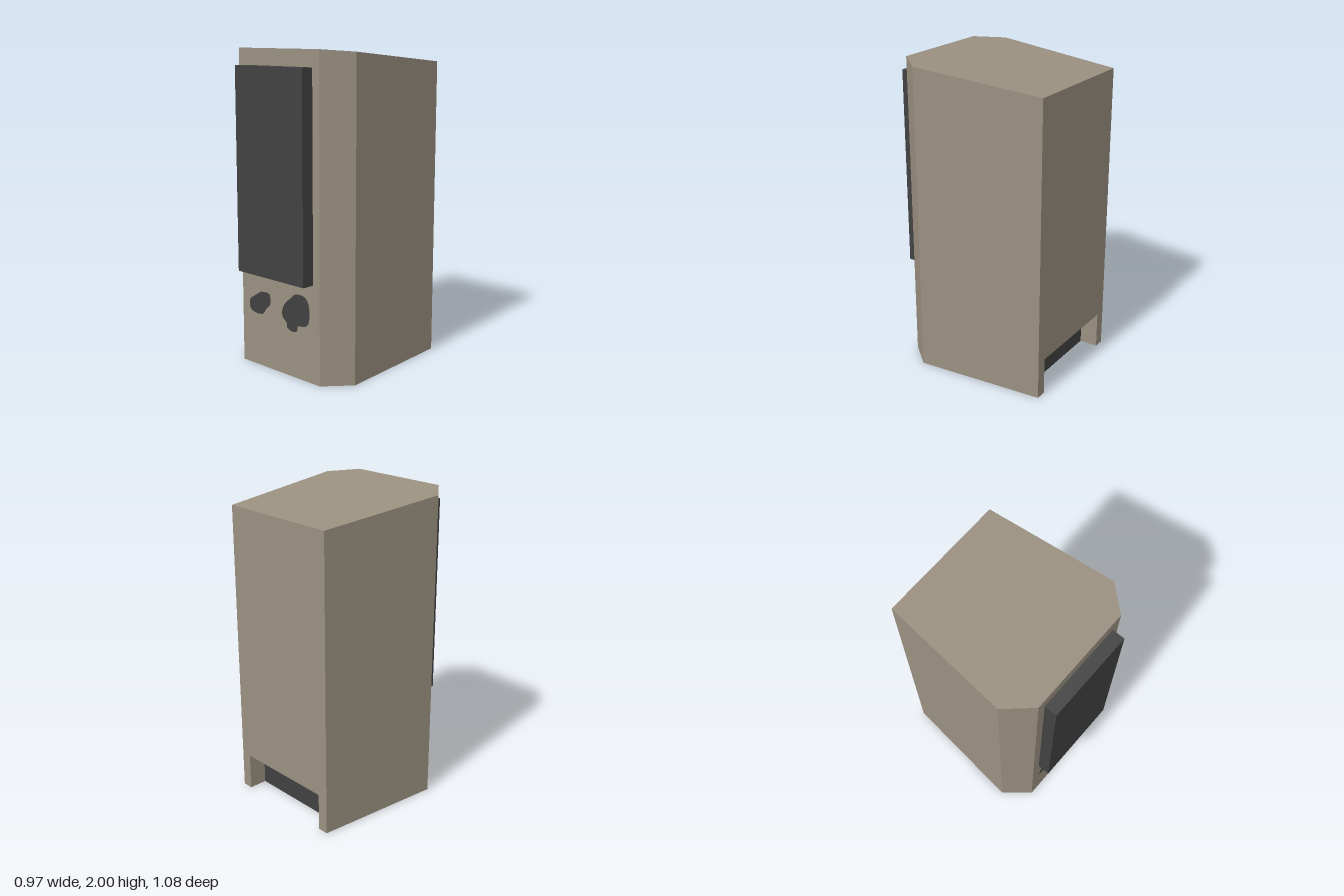
import * as THREE from 'three';

const FRONT = 0.46, BACK = -0.54, NOTCH_Z = -0.42, NOTCH_H = 0.24, NOTCH_X = 0.34;

// Cabinet top slopes down towards the back
const topY = (z) => 2 - 0.09 * (FRONT - z);

// One mesh of flat convex polygons; each entry is [outward direction, corners]
function polygonMesh(name, polygons, material) {
  const positions = [];
  for (const [outward, corners] of polygons) {
    const p = corners.map((c) => new THREE.Vector3(...c));
    const normal = p[1].clone().sub(p[0]).cross(p[2].clone().sub(p[0]));
    if (normal.dot(new THREE.Vector3(...outward)) < 0) p.reverse();
    for (let i = 1; i < p.length - 1; i++) {
      for (const v of [p[0], p[i], p[i + 1]]) positions.push(v.x, v.y, v.z);
    }
  }
  const geometry = new THREE.BufferGeometry();
  geometry.setAttribute('position', new THREE.Float32BufferAttribute(positions, 3));
  geometry.computeVertexNormals();
  const mesh = new THREE.Mesh(geometry, material);
  mesh.name = name;
  return mesh;
}

// Irregular dark patch painted on the front face
function patch(name, outline, material) {
  const curve = new THREE.CatmullRomCurve3(
    outline.map(([x, y]) => new THREE.Vector3(x, y, 0)), true, 'centripetal');
  const shape = new THREE.Shape(curve.getPoints(60).slice(0, -1).map((p) => new THREE.Vector2(p.x, p.y)));
  const mesh = new THREE.Mesh(new THREE.ShapeGeometry(shape), material);
  mesh.position.z = FRONT + 0.003;
  mesh.name = name;
  return mesh;
}

export function createModel() {
  const cabinetMat = new THREE.MeshStandardMaterial({ color: 0x9a9080 });
  cabinetMat.name = 'cabinetTaupe';
  const darkMat = new THREE.MeshStandardMaterial({ color: 0x414141 });
  darkMat.name = 'charcoal';

  const group = new THREE.Group();
  group.name = 'speaker';

  // Cabinet footprint, as x and z
  const footprint = [
    [-0.345, FRONT], [0.345, FRONT], [0.485, 0.3],
    [0.41, BACK], [-0.41, BACK], [-0.485, 0.3],
  ];
  const cheekX = 0.421; // half width where the rear notch starts
  const faces = [];

  // Walls around the footprint, except the notched back
  footprint.forEach(([x0, z0], i) => {
    if (i === 3) return;
    const [x1, z1] = footprint[(i + 1) % 6];
    faces.push([[x0 + x1, 0, z0 + z1], [
      [x0, 0, z0], [x1, 0, z1], [x1, topY(z1), z1], [x0, topY(z0), z0],
    ]]);
  });

  // Sloped top and underside
  faces.push([[0, 1, 0], footprint.map(([x, z]) => [x, topY(z), z])]);
  faces.push([[0, -1, 0], footprint.map(([x, z]) =>
    (z === BACK ? [Math.sign(x) * cheekX, 0, NOTCH_Z] : [x, 0, z]))]);

  // Back wall above the notch, and the notch ceiling
  faces.push([[0, 0, -1], [
    [-0.41, NOTCH_H, BACK], [0.41, NOTCH_H, BACK],
    [0.41, topY(BACK), BACK], [-0.41, topY(BACK), BACK],
  ]]);
  faces.push([[0, -1, 0], [
    [-NOTCH_X, NOTCH_H, BACK], [NOTCH_X, NOTCH_H, BACK],
    [NOTCH_X, NOTCH_H, NOTCH_Z], [-NOTCH_X, NOTCH_H, NOTCH_Z],
  ]]);

  // Feet on each side of the notch: back, inner cheek and sole
  for (const s of [-1, 1]) {
    const inner = s * NOTCH_X, outer = s * 0.41;
    faces.push([[0, 0, -1], [
      [inner, 0, BACK], [outer, 0, BACK], [outer, NOTCH_H, BACK], [inner, NOTCH_H, BACK],
    ]]);
    faces.push([[-s, 0, 0], [
      [inner, 0, BACK], [inner, 0, NOTCH_Z], [inner, NOTCH_H, NOTCH_Z], [inner, NOTCH_H, BACK],
    ]]);
    faces.push([[0, -1, 0], [
      [inner, 0, BACK], [outer, 0, BACK], [s * cheekX, 0, NOTCH_Z], [inner, 0, NOTCH_Z],
    ]]);
  }
  group.add(polygonMesh('cabinet', faces, cabinetMat));

  // Dark connector panel inside the notch
  group.add(polygonMesh('rearPanel', [[[0, 0, -1], [
    [-NOTCH_X, 0, NOTCH_Z], [NOTCH_X, 0, NOTCH_Z],
    [NOTCH_X, NOTCH_H, NOTCH_Z], [-NOTCH_X, NOTCH_H, NOTCH_Z],
  ]]], darkMat));

  // Front grille
  const grille = new THREE.Mesh(new THREE.BoxGeometry(0.58, 1.28, 0.085), darkMat);
  grille.position.set(0, 1.257, 0.4985);
  grille.name = 'grille';
  group.add(grille);

  // Two dark patches under the grille
  group.add(patch('rightPatch', [
    [-0.206, 0.467], [-0.17, 0.488], [-0.095, 0.488], [-0.085, 0.467], [-0.085, 0.424], [-0.127, 0.38],
    [-0.15, 0.35], [-0.21, 0.34], [-0.265, 0.355], [-0.28, 0.387], [-0.27, 0.424], [-0.233, 0.45],
  ].reverse(), darkMat));
  group.add(patch('leftPatch', [
    [0.165, 0.537], [0.222, 0.53], [0.254, 0.493], [0.254, 0.377], [0.222, 0.345],
    [0.16, 0.335], [0.153, 0.302], [0.105, 0.292], [0.065, 0.31], [0.062, 0.335],
    [0.026, 0.37], [0.026, 0.42], [0.058, 0.467], [0.1, 0.5], [0.127, 0.525],
  ].reverse(), darkMat));

  return group;
}
